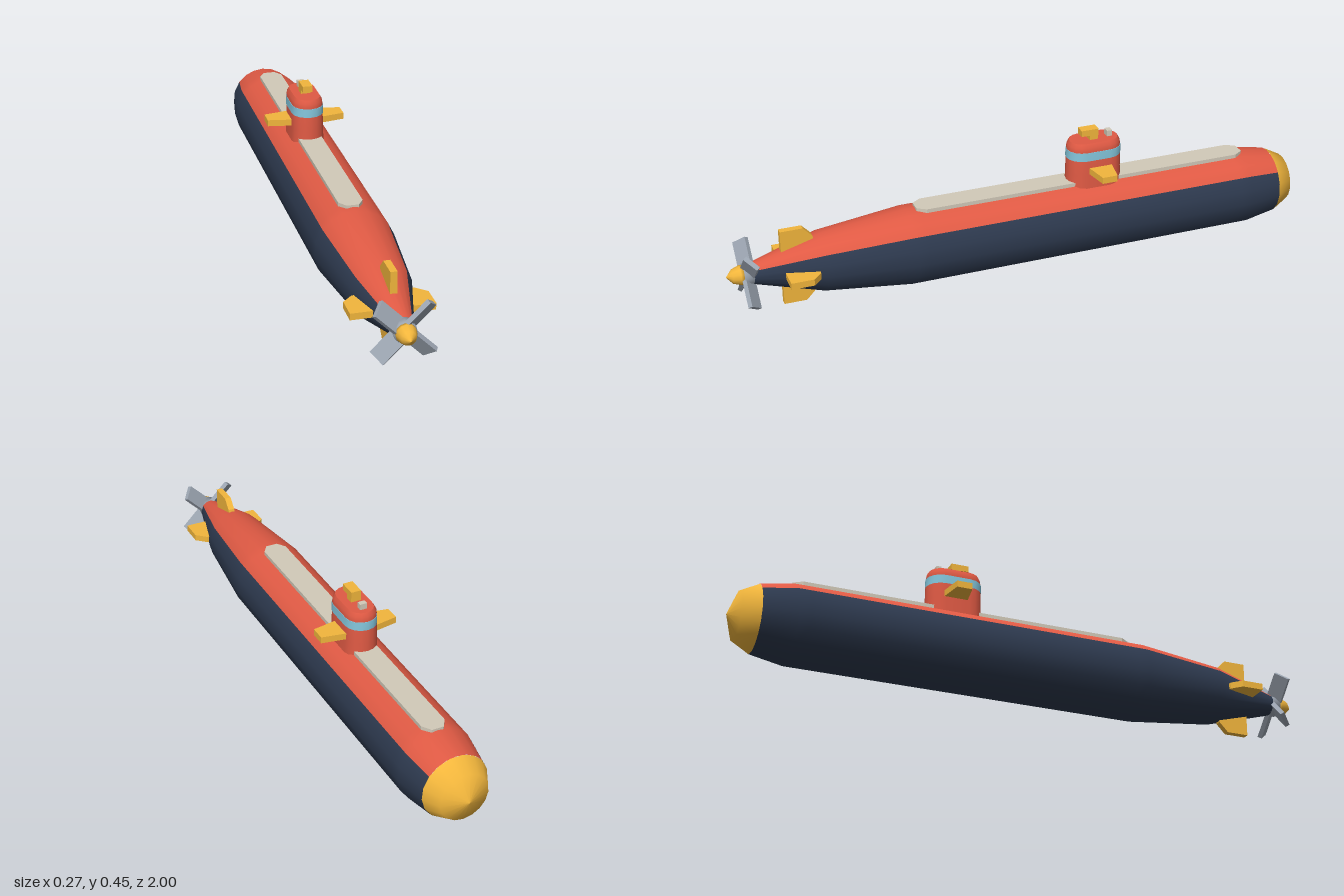
import * as THREE from 'three';
import { toCreasedNormals } from 'three/addons/utils/BufferGeometryUtils.js';

const AXIS_Y = 0.133; // height of the hull axis
const rad = THREE.MathUtils.degToRad;

const mat = (color) => new THREE.MeshStandardMaterial({ color });
const RED = mat(0xe05a44), NAVY = mat(0x2d394e), YELLOW = mat(0xf2b63c);
const CREAM = mat(0xd2cab9), BLUE = mat(0x85c8de), GREY = mat(0x9ca5b1);

export function createModel() {
  const model = new THREE.Group();
  model.name = 'submarine';

  const add = (name, geometry, material, parent = model) => {
    const mesh = new THREE.Mesh(geometry, material);
    mesh.name = name;
    parent.add(mesh);
    return mesh;
  };
  const box = (name, w, h, d, x, y, z, material) =>
    add(name, new THREE.BoxGeometry(w, h, d).translate(x, y, z), material);

  // Turned part along z; profile is [radius, z], angle 0 is straight down
  const turned = (profile, segments, start = 0, length = 360) =>
    new THREE.LatheGeometry(profile.map(([r, z]) => new THREE.Vector2(r, z)),
      segments, rad(start), rad(length)).rotateX(Math.PI / 2).translate(0, AXIS_Y, 0);

  // Hull: navy lower shell and red upper strip share one profile
  const hull = [[0.112, -0.912], [0.132, -0.8], [0.132, -0.76], [0.132, 0.36],
    [0.132, 0.4], [0.1, 0.69], [0.036, 0.915]];
  add('lowerHull', turned(hull, 12, -127, 254), NAVY);
  add('upperHull', turned(hull, 6, 127, 106), RED);
  add('noseCap', turned([[0, -1], [0.082, -0.969], [0.112, -0.912]], 17), YELLOW);

  // Deck strip with chamfered ends
  const deck = new THREE.Shape([[0.04, 0.34], [0.02, 0.37], [-0.02, 0.37], [-0.04, 0.34],
    [-0.04, -0.77], [-0.02, -0.8], [0.02, -0.8], [0.04, -0.77]]
    .map(([x, z]) => new THREE.Vector2(x, -z)));
  add('deck', new THREE.ExtrudeGeometry(deck, { depth: 0.03, bevelEnabled: false })
    .rotateX(-Math.PI / 2).translate(0, 0.242, 0), CREAM);

  // Tower: stacked capsule outlines, each level is [y, half width]
  const TOWER_Z = -0.255, STRAIGHT = 0.041, ARC = 8;
  const tower = (levels) => {
    const pos = [], index = [], n = 2 * (ARC + 1);
    for (const [y, r] of levels) {
      for (let i = 0; i < n; i++) {
        const end = i <= ARC ? 0 : 1;
        const a = (i - end) / ARC * Math.PI;
        pos.push(r * Math.cos(a), y, TOWER_Z + r * Math.sin(a) + (end ? -STRAIGHT : STRAIGHT));
      }
    }
    for (let l = 0; l < levels.length - 1; l++) {
      for (let i = 0; i < n; i++) {
        const a = l * n + i, b = l * n + (i + 1) % n;
        index.push(a, a + n, b, b, a + n, b + n);
      }
    }
    // Flat lid
    const top = (levels.length - 1) * n;
    for (let i = 1; i < n - 1; i++) index.push(top, top + i + 1, top + i);
    const g = new THREE.BufferGeometry();
    g.setAttribute('position', new THREE.Float32BufferAttribute(pos, 3));
    g.setIndex(index);
    return toCreasedNormals(g, rad(30));
  };
  add('tower', tower([[0.235, 0.056], [0.3, 0.0535], [0.385, 0.052], [0.398, 0.05], [0.41, 0.043]]), RED);
  add('towerWindowBand', tower([[0.351, 0.0538], [0.381, 0.0535]]), BLUE);

  // Periscope and small mast on the tower
  box('periscopePost', 0.034, 0.03, 0.03, 0, 0.415, -0.251, YELLOW);
  box('periscopeHead', 0.034, 0.021, 0.06, 0, 0.436, -0.237, YELLOW);
  box('mast', 0.024, 0.03, 0.018, 0, 0.415, -0.309, CREAM);

  // Flat fin reaching out along +x; outline is [x, z]
  const finGeometry = (outline) => new THREE.ExtrudeGeometry(
    new THREE.Shape(outline.map(([x, z]) => new THREE.Vector2(x, -z))),
    { depth: 0.022, bevelEnabled: false }).rotateX(-Math.PI / 2).translate(0, -0.011, 0);

  const planes = finGeometry([[0.035, -0.22], [0.053, -0.222], [0.133, -0.236],
    [0.133, -0.288], [0.053, -0.302], [0.035, -0.304]]);
  for (const side of [0, 1]) {
    const plane = add(side ? 'rightTowerPlane' : 'leftTowerPlane', planes, YELLOW);
    plane.position.set(0, 0.314, side ? 2 * TOWER_Z - 0.014 : 0);
    plane.rotation.y = side * Math.PI;
  }

  // Four tail fins around the hull axis
  const tailFin = finGeometry([[0.04, 0.82], [0.132, 0.82], [0.132, 0.745], [0.1, 0.715], [0.04, 0.7]]);
  ['left', 'top', 'right', 'bottom'].forEach((name, i) => {
    const fin = add(name + 'TailFin', tailFin, YELLOW);
    fin.position.y = AXIS_Y + 0.002;
    fin.rotation.z = i * Math.PI / 2;
  });

  // Propeller: hub, spinner cap and four pitched blades
  add('propellerHub', turned([[0, 0.9], [0.036, 0.9], [0.036, 0.945], [0, 0.945]], 12), GREY);
  add('spinnerCap', turned([[0, 0.935], [0.032, 0.94], [0.032, 0.955], [0.023, 0.98], [0, 1]], 12), YELLOW);
  const blade = new THREE.BoxGeometry(0.1, 0.055, 0.015).rotateX(rad(40)).translate(0.065, 0, 0);
  for (let i = 0; i < 4; i++) {
    const mesh = add('propellerBlade', blade, GREY);
    mesh.position.set(0, AXIS_Y, 0.93);
    mesh.rotation.z = rad(45 + 90 * i);
  }
  return model;
}
